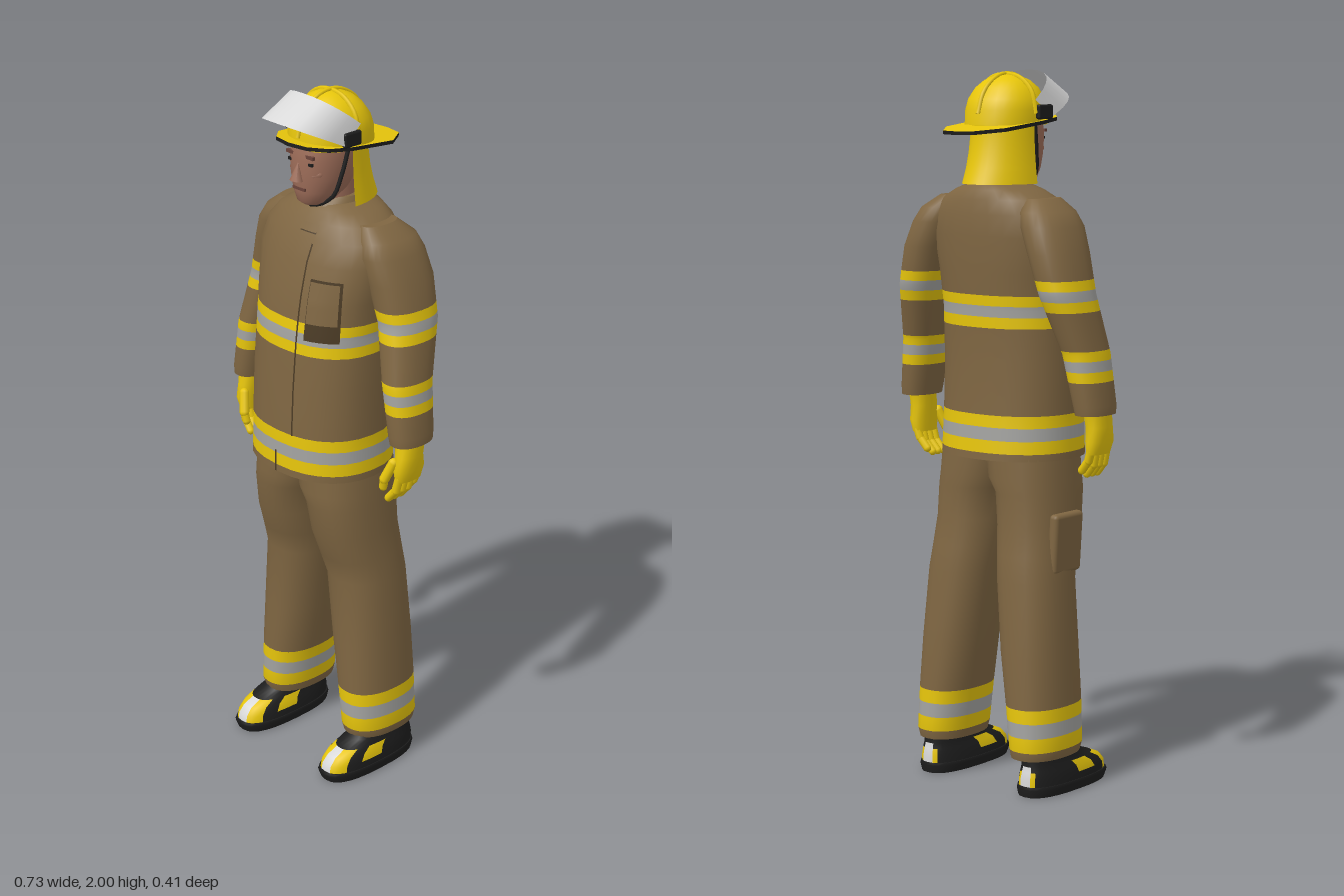
import * as THREE from 'three';
import { RoundedBoxGeometry } from 'three/addons/geometries/RoundedBoxGeometry.js';

const mat = (name, color) => Object.assign(new THREE.MeshStandardMaterial({ color, side: THREE.DoubleSide }), { name });
const brown = mat('tan cloth', 0x7f6642), darkBrown = mat('seam brown', 0x4a3a24), yellow = mat('safety yellow', 0xecca0c),
  silver = mat('reflective silver', 0xa3a3a0), black = mat('black rubber', 0x1d1d1d), skin = mat('skin', 0x9c6c58),
  lips = mat('dark skin', 0x6b443a), white = mat('pale visor', 0xd8d8d8);

// A ring is [y, xMin, xMax, zBack, zFront]; rings rise in y
function ringAt(rings, y) {
  let i = 0;
  while (i < rings.length - 2 && rings[i + 1][0] < y) i++;
  const a = rings[i], b = rings[i + 1], t = THREE.MathUtils.clamp((y - a[0]) / (b[0] - a[0]), 0, 1);
  return a.map((v, k) => v + (b[k] - v) * t);
}
const flip = (rings, s) => rings.map(([y, a, b, c, d]) => (s > 0 ? [y, a, b, c, d] : [y, -b, -a, c, d]));

// Skin rounded cross-sections; colorOf(y, angle) picks the colour of each face
function loft(name, rings, { n = 2.3, sides = 28, cuts = [], colorOf = () => brown } = {}) {
  const ys = [...new Set([...rings.map((r) => r[0]), ...cuts])].sort((a, b) => a - b);
  const pos = [], faces = new Map();
  const add = (m, ...ids) => faces.set(m, [...(faces.get(m) || []), ...ids]);
  const pushRing = (y) => {
    const [, x0, x1, z0, z1] = ringAt(rings, y);
    for (let k = 0; k < sides; k++) {
      const a = (k / sides) * Math.PI * 2, c = Math.cos(a), s = Math.sin(a);
      pos.push((x0 + x1) / 2 + ((x1 - x0) / 2) * Math.sign(c) * Math.abs(c) ** (2 / n), y,
        (z0 + z1) / 2 + ((z1 - z0) / 2) * Math.sign(s) * Math.abs(s) ** (2 / n));
    }
  };
  ys.forEach(pushRing);
  for (let j = 0; j < ys.length - 1; j++) for (let k = 0; k < sides; k++) {
    const a = j * sides + k, b = j * sides + (k + 1) % sides;
    add(colorOf((ys[j] + ys[j + 1]) / 2, ((k + 0.5) / sides) * Math.PI * 2), a, a + sides, b, b, a + sides, b + sides);
  }
  for (const top of [false, true]) {
    const y = top ? ys[ys.length - 1] : ys[0], start = pos.length / 3, r = ringAt(rings, y);
    pushRing(y);
    pos.push((r[1] + r[2]) / 2, y, (r[3] + r[4]) / 2);
    for (let k = 0; k < sides; k++) {
      const a = start + k, b = start + (k + 1) % sides;
      add(colorOf(y, 0), start + sides, top ? b : a, top ? a : b);
    }
  }
  const g = new THREE.BufferGeometry(), index = [], mats = [...faces.keys()];
  mats.forEach((m, i) => { g.addGroup(index.length, faces.get(m).length, i); index.push(...faces.get(m)); });
  g.setAttribute('position', new THREE.Float32BufferAttribute(pos, 3));
  g.setIndex(index);
  g.computeVertexNormals();
  return mesh(name, g, mats);
}
function mesh(name, geometry, material, x = 0, y = 0, z = 0) {
  const m = new THREE.Mesh(geometry, material);
  m.name = name;
  m.position.set(x, y, z);
  return m;
}
const box = (name, w, h, d, m, x, y, z) => mesh(name, new THREE.BoxGeometry(w, h, d), m, x, y, z);
function capsule(name, a, b, r, m) {
  const p = new THREE.Vector3(...a), d = new THREE.Vector3(...b).sub(p);
  const c = mesh(name, new THREE.CapsuleGeometry(r, d.length(), 4, 8), m);
  c.position.copy(p).addScaledVector(d, 0.5);
  c.quaternion.setFromUnitVectors(new THREE.Vector3(0, 1, 0), d.normalize());
  return c;
}
const tube = (name, pts, r, m) => mesh(name, new THREE.TubeGeometry(
  new THREE.CatmullRomCurve3(pts.map((p) => new THREE.Vector3(...p))), 24, r, 6), m);
// Plain cloth with yellow-silver-yellow bands, each band [bottom, top]
function striped(bands) {
  const cuts = bands.flatMap(([a, b]) => [a, a + (b - a) * 0.34, a + (b - a) * 0.68, b]);
  const colorOf = (y) => {
    const band = bands.find(([a, b]) => y > a && y < b);
    if (!band) return brown;
    const t = (y - band[0]) / (band[1] - band[0]);
    return t > 0.34 && t < 0.68 ? silver : yellow;
  };
  return { cuts, colorOf };
}

const jacketRings = [[0.935, -0.206, 0.206, -0.147, 0.2], [1.06, -0.202, 0.202, -0.14, 0.197], [1.2, -0.2, 0.2, -0.135, 0.19],
  [1.35, -0.198, 0.198, -0.14, 0.177], [1.45, -0.205, 0.205, -0.148, 0.162], [1.55, -0.22, 0.22, -0.154, 0.138],
  [1.61, -0.21, 0.21, -0.15, 0.112], [1.65, -0.175, 0.175, -0.143, 0.09], [1.675, -0.125, 0.125, -0.134, 0.07],
  [1.69, -0.08, 0.08, -0.12, 0.05]];
// Thin cloth patch that follows the jacket front
function patch(name, x0, x1, y0, y1, off, m) {
  const g = new THREE.PlaneGeometry(1, 1, 4, 12), p = g.attributes.position;
  for (let i = 0; i < p.count; i++) {
    const x = x0 + (p.getX(i) + 0.5) * (x1 - x0), y = y0 + (p.getY(i) + 0.5) * (y1 - y0);
    const [, , rx, zb, zf] = ringAt(jacketRings, y);
    p.setXYZ(i, x, y, (zb + zf) / 2 + ((zf - zb) / 2) * (1 - Math.abs(x / rx) ** 2.3) ** (1 / 2.3) + off);
  }
  g.computeVertexNormals();
  return mesh(name, g, m);
}

function jacket() {
  const g = new THREE.Group();
  g.name = 'jacket';
  g.add(loft('jacketBody', jacketRings, striped([[0.955, 1.06], [1.3, 1.39]])));
  g.add(loft('collar', [[1.64, -0.1, 0.1, -0.13, 0.085], [1.685, -0.078, 0.078, -0.12, 0.06], [1.705, -0.07, 0.07, -0.11, 0.035]]));
  g.add(patch('frontSeam', 0.056, 0.061, 1.06, 1.6, 0.003, darkBrown), patch('hemSlit', -0.003, 0.003, 0.937, 1.0, 0.003, darkBrown));
  g.add(patch('pocketEdge', 0.082, 0.168, 1.345, 1.515, 0.004, darkBrown), patch('chestPocket', 0.088, 0.165, 1.395, 1.51, 0.01, brown));
  g.add(patch('collarTabShadow', 0.005, 0.062, 1.625, 1.632, 0.007, darkBrown), patch('collarTab', 0.005, 0.065, 1.63, 1.65, 0.012, brown));
  return g;
}

function arm(s) {
  const g = new THREE.Group();
  g.name = s > 0 ? 'leftArm' : 'rightArm';
  g.add(loft('sleeve', flip([[1.075, 0.277, 0.364, -0.07, 0.062], [1.1, 0.272, 0.364, -0.074, 0.065], [1.24, 0.242, 0.346, -0.088, 0.064],
    [1.4, 0.195, 0.318, -0.138, 0.042], [1.51, 0.16, 0.292, -0.148, 0.05], [1.58, 0.13, 0.265, -0.142, 0.06],
    [1.62, 0.12, 0.24, -0.128, 0.05], [1.655, 0.12, 0.19, -0.09, 0.03]], s), striped([[1.165, 1.25], [1.355, 1.44]])));
  // Glove
  g.add(loft('gloveHand', flip([[0.965, 0.3, 0.342, -0.036, 0.05], [1.0, 0.298, 0.352, -0.042, 0.058],
    [1.04, 0.295, 0.354, -0.036, 0.05], [1.09, 0.29, 0.355, -0.045, 0.045]], s), { sides: 16, colorOf: () => yellow }));
  for (let i = 0; i < 4; i++) {
    const z = -0.025 + i * 0.022, drop = i === 0 ? 0.012 : 0;
    g.add(capsule('finger', [0.322 * s, 0.975, z], [0.312 * s, 0.935 + drop, z + 0.002], 0.0125, yellow));
    g.add(capsule('fingertip', [0.312 * s, 0.935 + drop, z + 0.002], [0.287 * s, 0.906 + drop, z + 0.005], 0.0115, yellow));
  }
  g.add(capsule('thumb', [0.308 * s, 1.02, 0.05], [0.29 * s, 0.97, 0.066], 0.014, yellow));
  g.add(capsule('thumbTip', [0.29 * s, 0.97, 0.066], [0.284 * s, 0.945, 0.064], 0.012, yellow));
  return g;
}

function leg(s) {
  const g = new THREE.Group();
  g.name = s > 0 ? 'leftLeg' : 'rightLeg';
  g.add(loft('trouserLeg', flip([[0.105, 0.1, 0.245, -0.15, 0.08], [0.13, 0.096, 0.25, -0.156, 0.088], [0.25, 0.08, 0.246, -0.154, 0.09],
    [0.4, 0.055, 0.238, -0.15, 0.09], [0.6, 0.03, 0.225, -0.138, 0.09], [0.67, 0.021, 0.218, -0.13, 0.112],
    [0.75, 0.012, 0.212, -0.12, 0.138], [0.84, 0.004, 0.207, -0.12, 0.152], [0.88, -0.025, 0.204, -0.122, 0.156],
    [0.98, -0.04, 0.195, -0.12, 0.155]], s), striped([[0.13, 0.25]])));
  // Boot with coloured toe and heel guards
  g.add(loft('bootSole', flip([[0, 0.12, 0.246, -0.138, 0.185], [0.022, 0.114, 0.252, -0.142, 0.194], [0.03, 0.116, 0.25, -0.14, 0.19]], s),
    { n: 2.6, colorOf: () => black }));
  const bootColor = (y, a) => {
    const c = Math.abs(Math.cos(a)), front = Math.sin(a) > 0;
    if (y > 0.085) return black;
    if (c < 0.22) return white;
    if (front && c < 0.76) return yellow;
    if (!front && c < 0.42 && y < 0.07) return yellow;
    return front && y > 0.045 && c > 0.95 ? yellow : black;
  };
  g.add(loft('boot', flip([[0.025, 0.118, 0.248, -0.138, 0.188], [0.05, 0.12, 0.247, -0.138, 0.184], [0.07, 0.125, 0.243, -0.134, 0.165],
    [0.085, 0.13, 0.238, -0.13, 0.13], [0.1, 0.132, 0.234, -0.13, 0.085], [0.14, 0.135, 0.23, -0.125, 0.06]], s),
  { n: 2.5, sides: 32, colorOf: bootColor }));
  return g;
}

function head() {
  const g = new THREE.Group(), allSkin = { n: 2.2, colorOf: () => skin };
  g.name = 'head';
  g.add(loft('neck', [[1.66, -0.058, 0.058, -0.075, 0.045], [1.76, -0.056, 0.056, -0.07, 0.05]], allSkin));
  g.add(loft('face', [[1.69, -0.03, 0.03, 0.01, 0.09], [1.7, -0.046, 0.046, -0.02, 0.103], [1.73, -0.064, 0.064, -0.05, 0.11],
    [1.77, -0.076, 0.076, -0.07, 0.113], [1.82, -0.083, 0.083, -0.085, 0.114], [1.87, -0.082, 0.082, -0.09, 0.106],
    [1.9, -0.07, 0.07, -0.08, 0.09]], allSkin));
  const nose = mesh('nose', new THREE.ConeGeometry(0.019, 0.055, 8), skin, 0, 1.79, 0.115);
  nose.rotation.x = -0.15;
  g.add(nose, box('mouth', 0.046, 0.008, 0.008, lips, 0, 1.739, 0.108));
  for (const s of [-1, 1]) {
    g.add(box('brow', 0.036, 0.009, 0.009, lips, 0.034 * s, 1.832, 0.104), box('eye', 0.024, 0.008, 0.008, black, 0.034 * s, 1.812, 0.103));
    g.add(capsule('cheek', [0.035 * s, 1.78, 0.09], [0.048 * s, 1.785, 0.08], 0.014, skin));
  }
  g.add(tube('chinStrap', [[-0.09, 1.87, 0.01], [-0.08, 1.78, 0.03], [-0.062, 1.715, 0.048], [0, 1.684, 0.068],
    [0.062, 1.715, 0.048], [0.08, 1.78, 0.03], [0.09, 1.87, 0.01]], 0.006, black));
  return g;
}

function helmet() {
  const g = new THREE.Group();
  g.name = 'helmet';
  g.add(loft('dome', [[1.85, -0.106, 0.106, -0.122, 0.112], [1.89, -0.106, 0.106, -0.118, 0.11], [1.92, -0.1, 0.1, -0.108, 0.102],
    [1.95, -0.083, 0.083, -0.087, 0.085], [1.97, -0.06, 0.06, -0.063, 0.062], [1.982, -0.035, 0.035, -0.036, 0.036],
    [1.986, -0.012, 0.012, -0.012, 0.012]], { n: 2.2, colorOf: () => yellow }));
  g.add(tube('crestRidge', [[0, 1.88, -0.122], [0, 1.94, -0.098], [0, 1.977, -0.05], [0, 1.988, 0], [0, 1.977, 0.05], [0, 1.94, 0.094], [0, 1.88, 0.114]], 0.007, yellow));
  g.add(tube('crossRidge', [[-0.108, 1.88, -0.005], [-0.092, 1.94, -0.005], [-0.05, 1.977, -0.005], [0, 1.986, -0.005],
    [0.05, 1.977, -0.005], [0.092, 1.94, -0.005], [0.108, 1.88, -0.005]], 0.007, yellow));
  // Brim, longer behind and sloping down to the back
  const half = [[0, 0.15], [0.06, 0.138], [0.1, 0.095], [0.114, 0.02], [0.108, -0.13], [0.055, -0.203], [0, -0.212]];
  const outline = [...half, ...half.slice(1, -1).reverse().map(([x, z]) => [-x, z])].map(([x, z]) => new THREE.Vector2(x, -z));
  const brim = mesh('brim', new THREE.ExtrudeGeometry(new THREE.Shape(outline), { depth: 0.01, bevelEnabled: false }), [yellow, black], 0, 1.849, 0);
  brim.rotation.x = -Math.PI / 2 - 0.112;
  g.add(brim);
  // Neck cape hanging from the back of the brim
  const cape = new THREE.CylinderGeometry(1, 1, 0.18, 20, 4, true, Math.PI / 2, Math.PI), cp = cape.attributes.position;
  for (let i = 0; i < cp.count; i++) {
    const t = 0.5 - cp.getY(i) / 0.18;
    cp.setXYZ(i, cp.getX(i) * (0.094 + 0.012 * t * t), 1.865 - 0.175 * t, 0.004 + cp.getZ(i) * (0.113 + 0.037 * t * t));
  }
  cape.computeVertexNormals();
  g.add(mesh('neckCape', cape, yellow));
  // Raised visor, a curved band from temple to temple
  const visor = new THREE.PlaneGeometry(1, 1, 12, 2), vp = visor.attributes.position;
  for (let i = 0; i < vp.count; i++) {
    const a = vp.getX(i) * Math.PI, t = vp.getY(i) + 0.5, c = Math.cos(a) ** 0.8;
    const x = Math.sign(a) * Math.abs(Math.sin(a)) ** 0.85 * (0.118 - 0.008 * t);
    vp.setXYZ(i, x, 1.872 + 0.046 * t + c * (0.068 + 0.012 * t), 0.055 - 0.065 * t + c * (0.14 - 0.035 * t));
  }
  visor.computeVertexNormals();
  g.add(mesh('visor', visor, white));
  for (const s of [-1, 1]) g.add(mesh('visorHinge', new RoundedBoxGeometry(0.016, 0.04, 0.06, 2, 0.006), black, 0.113 * s, 1.885, 0.025));
  return g;
}

export function createModel() {
  const model = new THREE.Group();
  model.name = 'firefighter';
  model.add(jacket(), head(), helmet());
  for (const s of [-1, 1]) model.add(arm(s), leg(s));
  const pocket = mesh('thighPocket', new RoundedBoxGeometry(0.03, 0.17, 0.12, 2, 0.012), brown, -0.212, 0.705, 0);
  pocket.rotation.z = 0.06;
  model.add(pocket);
  return model;
}
